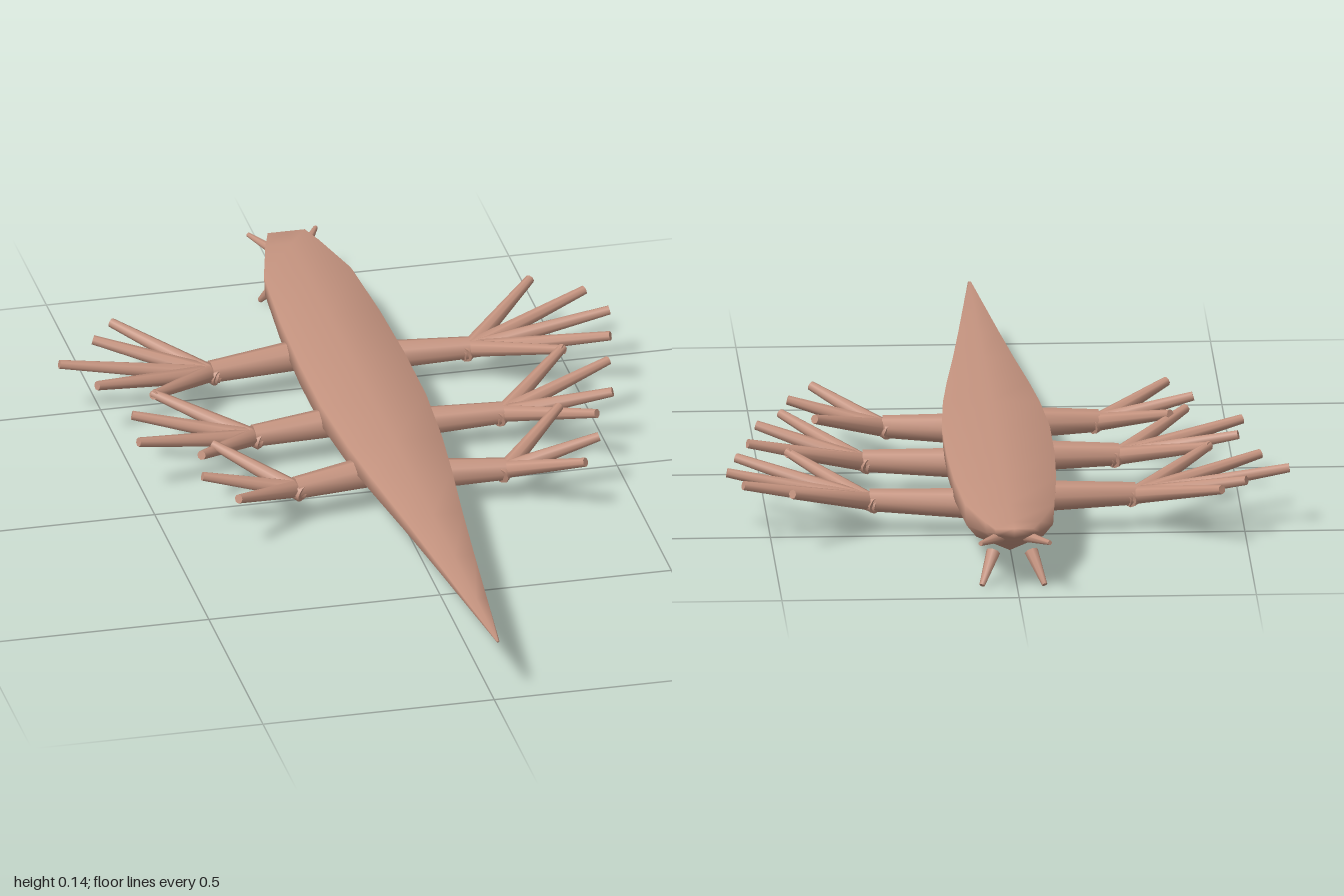
import * as THREE from 'three';

const skin = new THREE.MeshStandardMaterial({ color: 0xc4937f });
skin.name = 'brownSkin';
const V = (p) => new THREE.Vector3(...p);

// Tapered rod between two points
function rod(name, from, to, r0, r1, sides = 8) {
  const a = V(from), b = V(to), dir = b.clone().sub(a);
  const mesh = new THREE.Mesh(new THREE.CylinderGeometry(r1, r0, dir.length(), sides), skin);
  mesh.position.copy(a).add(b).multiplyScalar(0.5);
  mesh.quaternion.setFromUnitVectors(new THREE.Vector3(0, 1, 0), dir.normalize());
  mesh.name = name;
  return mesh;
}

// Flat-backed, keeled body lofted along z
function makeBody() {
  const top = 0.14, cx = 0.008;
  // z, half width, depth below the back
  const stations = [
    [-0.955, 0.04, 0.02], [-0.9, 0.058, 0.05], [-0.76, 0.094, 0.1], [-0.55, 0.108, 0.116],
    [-0.35, 0.114, 0.118], [-0.15, 0.114, 0.116], [0.05, 0.102, 0.1], [0.2, 0.087, 0.083],
    [0.4, 0.064, 0.062], [0.6, 0.043, 0.042], [0.8, 0.023, 0.023], [1, 0.003, 0.004],
  ];
  const section = [[0, 0], [1, 0], [0.97, 0.45], [0.75, 0.7], [0, 1], [-0.75, 0.7], [-0.97, 0.45], [-1, 0]];
  const n = section.length, pos = [], index = [];
  for (const [z, w, d] of stations)
    for (const [u, v] of section) pos.push(cx + u * w, top - v * d, z);
  for (let i = 0; i < stations.length - 1; i++)
    for (let j = 0; j < n; j++) {
      const a = i * n + j, b = i * n + (j + 1) % n;
      index.push(a, a + n, b, b, a + n, b + n);
    }
  // End caps
  const last = (stations.length - 1) * n;
  for (let j = 1; j < n - 1; j++) {
    index.push(0, j, j + 1);
    index.push(last, last + j + 1, last + j);
  }
  const g = new THREE.BufferGeometry();
  g.setAttribute('position', new THREE.Float32BufferAttribute(pos, 3));
  g.setIndex(index);
  g.computeVertexNormals();
  const mesh = new THREE.Mesh(g, skin);
  mesh.name = 'body';
  return mesh;
}

// One leg: root, joint, and fingertips given as x, z
function makeLeg(name, root, joint, tips) {
  const leg = new THREE.Group();
  leg.name = name;
  leg.add(rod('upperLeg', root, joint, 0.034, 0.024));
  const [jx, jy, jz] = joint;
  for (const [x, z] of tips) {
    const dx = x - jx, dz = z - jz, l = Math.hypot(dx, dz);
    const start = [jx - dx / l * 0.02, jy - 0.008, jz - dz / l * 0.02];
    leg.add(rod('finger', start, [x, 0.133, z], 0.02, 0.01));
  }
  return leg;
}

export function createModel() {
  const model = new THREE.Group();
  model.name = 'creature';
  model.add(makeBody());

  const legs = [
    ['leftFrontLeg', [0.05, 0.067, -0.49], [0.29, 0.073, -0.47],
      [[0.46, -0.635], [0.56, -0.56], [0.59, -0.457], [0.565, -0.34], [0.455, -0.3]]],
    ['leftMiddleLeg', [0.05, 0.067, -0.17], [0.29, 0.073, -0.16],
      [[0.455, -0.31], [0.535, -0.23], [0.51, -0.085], [0.455, 0.005]]],
    ['leftRearLeg', [0.05, 0.073, 0.08], [0.235, 0.075, 0.1],
      [[0.385, -0.045], [0.435, 0.11], [0.38, 0.22]]],
    ['rightFrontLeg', [-0.05, 0.085, -0.5], [-0.27, 0.08, -0.47],
      [[-0.445, -0.64], [-0.5, -0.57], [-0.595, -0.475], [-0.54, -0.36], [-0.435, -0.29]]],
    ['rightMiddleLeg', [-0.05, 0.085, -0.18], [-0.25, 0.08, -0.16],
      [[-0.435, -0.3], [-0.5, -0.21], [-0.515, -0.085], [-0.4, 0.005]]],
    ['rightRearLeg', [-0.05, 0.088, 0.07], [-0.22, 0.082, 0.1],
      [[-0.365, -0.04], [-0.42, 0.1], [-0.37, 0.22]]],
  ];
  for (const l of legs) model.add(makeLeg(...l));

  // Feelers and lower jaw spikes on the head
  for (const s of [1, -1]) {
    const x = (d) => 0.008 + s * d;
    model.add(rod('feeler', [x(0.028), 0.112, -0.915], [x(0.073), 0.12, -0.996], 0.012, 0.005));
    model.add(rod('jawSpike', [x(0.04), 0.066, -0.865], [x(0.066), 0.006, -0.913], 0.015, 0.006));
  }
  return model;
}
